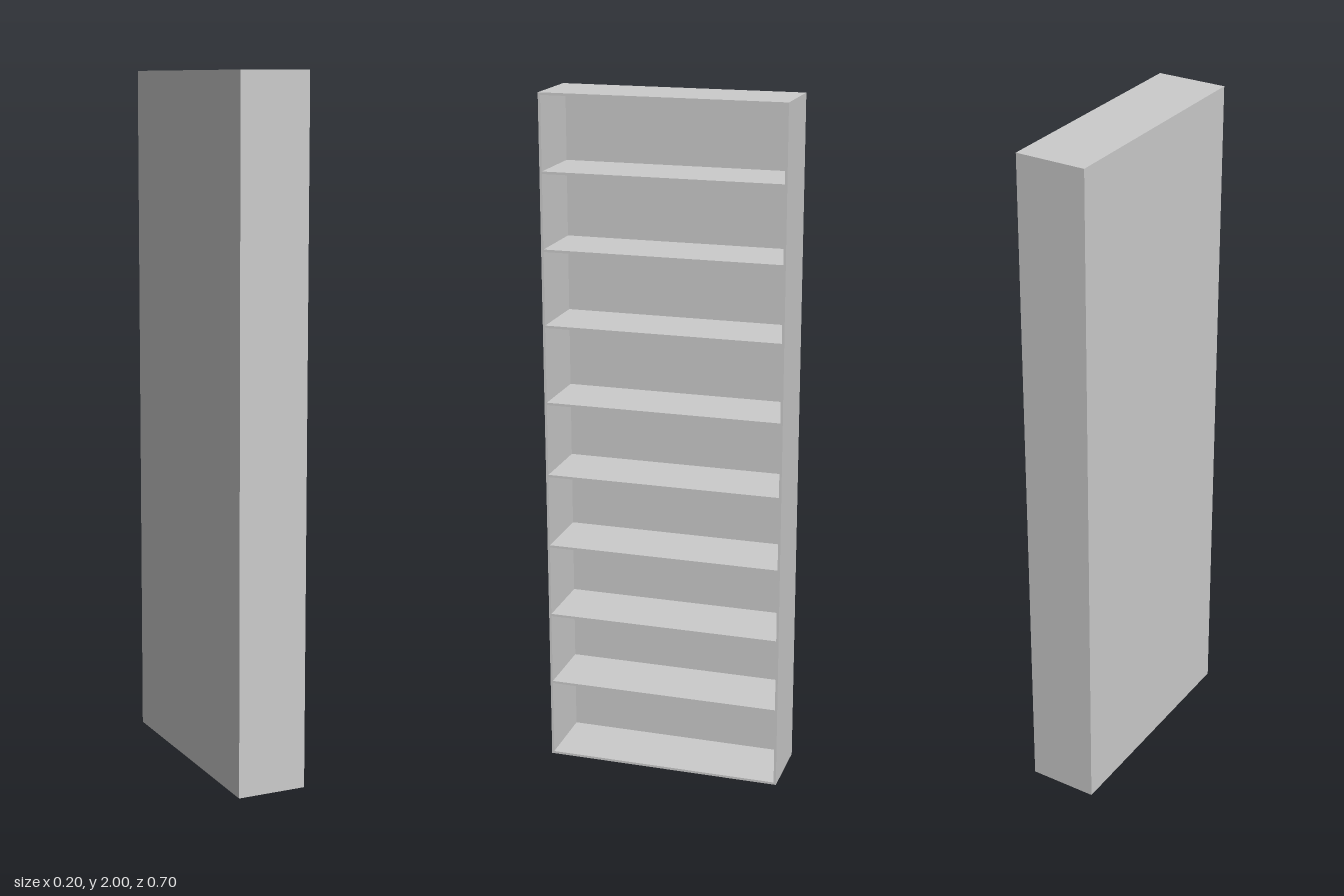
import * as THREE from 'three';

const HEIGHT = 2, WIDTH = 0.702, DEPTH = 0.204; // width runs along z, the open side faces +x
const BOARD = 0.007, BACK = 0.002;

export function createModel() {
  const group = new THREE.Group();
  group.name = 'bookcase';
  const material = new THREE.MeshStandardMaterial({ color: 0xcccccc });

  const addBoard = (name, size, position) => {
    const mesh = new THREE.Mesh(new THREE.BoxGeometry(...size), material);
    mesh.name = name;
    mesh.position.set(...position);
    group.add(mesh);
  };

  const boardDepth = DEPTH - BACK;
  const boardX = BACK / 2; // boards sit in front of the back panel
  const innerWidth = WIDTH - 2 * BOARD;

  // Thin back panel closing the -x side
  addBoard('backPanel', [BACK, HEIGHT, WIDTH], [(BACK - DEPTH) / 2, HEIGHT / 2, 0]);

  // Full-height side panels
  for (const [name, side] of [['frontSidePanel', 1], ['rearSidePanel', -1]]) {
    addBoard(name, [boardDepth, HEIGHT, BOARD], [boardX, HEIGHT / 2, side * (WIDTH - BOARD) / 2]);
  }

  // Top and bottom boards between the sides
  addBoard('topPanel', [boardDepth, BOARD, innerWidth], [boardX, HEIGHT - BOARD / 2, 0]);
  addBoard('bottomPanel', [boardDepth, BOARD, innerWidth], [boardX, BOARD / 2, 0]);

  // Eight shelves, the middle bay slightly taller, set back a hair from the edge
  const recess = 0.001;
  [0.238, 0.457, 0.676, 0.895, 1.114, 1.342, 1.561, 1.78].forEach((y, i) => {
    addBoard(`shelf${i + 1}`, [boardDepth - recess, BOARD, innerWidth], [boardX - recess / 2, y, 0]);
  });

  return group;
}
